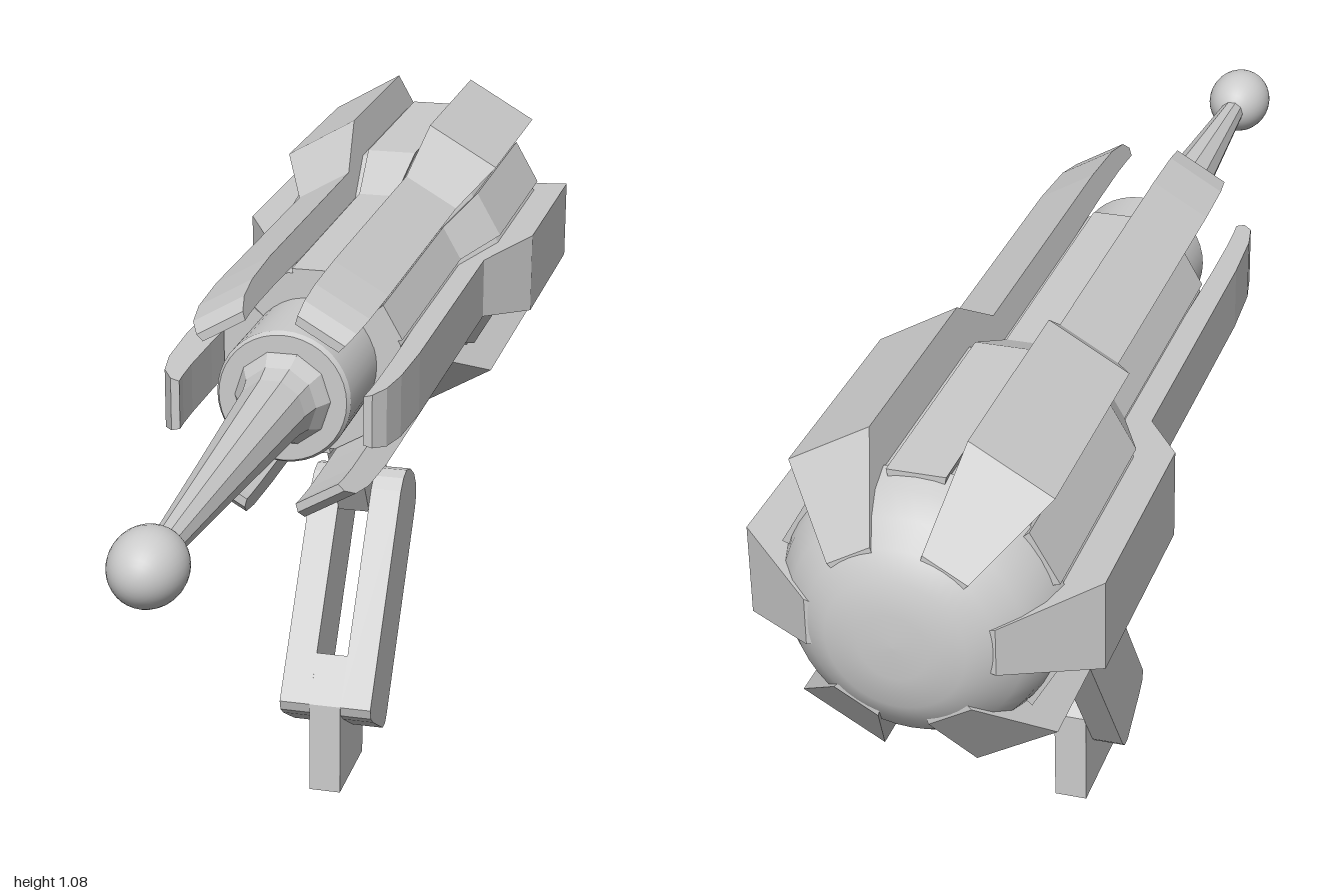
import * as THREE from 'three';

const flat = new THREE.MeshStandardMaterial({ color: 0xcccccc, flatShading: true });
const smooth = new THREE.MeshStandardMaterial({ color: 0xcccccc });
const AXIS_Y = 0.825;
const HALF = Math.PI / 12;

function add(parent, name, geometry, material) {
  const mesh = new THREE.Mesh(geometry, material);
  mesh.name = name;
  parent.add(mesh);
  return mesh;
}

// Turned part along z; profile is [radius, z] from back to front
function turned(profile, sides, start = 0) {
  const points = profile.map(([r, z]) => new THREE.Vector2(r, z));
  return new THREE.LatheGeometry(points, sides, start).rotateX(Math.PI / 2);
}

// Wedge-shaped bar along z; stations are [z, inner radius, outer radius] from front to back
function radialBar(stations, halfAngle) {
  const t = Math.tan(halfAngle);
  const position = [];
  const index = [0, 1, 2, 0, 2, 3];
  stations.forEach(([z, a, b], s) => {
    position.push(a, -a * t, z, b, -b * t, z, b, b * t, z, a, a * t, z);
    if (s === 0) return;
    for (let k = 0; k < 4; k++) {
      const i = (s - 1) * 4 + k;
      const j = (s - 1) * 4 + ((k + 1) % 4);
      index.push(i, i + 4, j, j, i + 4, j + 4);
    }
  });
  const e = (stations.length - 1) * 4;
  index.push(e, e + 2, e + 1, e, e + 3, e + 2);
  const g = new THREE.BufferGeometry();
  g.setAttribute('position', new THREE.Float32BufferAttribute(position, 3));
  g.setIndex(index);
  g.computeVertexNormals();
  return g;
}

// Plate cut from a [z, y] outline, spanning x0 to x1
function plate(outline, x0, x1) {
  const shape = new THREE.Shape(outline.map(([z, y]) => new THREE.Vector2(z, y)));
  const g = new THREE.ExtrudeGeometry(shape, { depth: x1 - x0, bevelEnabled: false });
  return g.rotateY(-Math.PI / 2).translate(x1, 0, 0);
}

export function createModel() {
  const model = new THREE.Group();
  model.name = 'rayPistol';
  const tilted = new THREE.Group();
  tilted.name = 'pistol';
  tilted.rotation.y = 0.016;
  tilted.position.x = 0.005;
  model.add(tilted);

  const barrel = new THREE.Group();
  barrel.name = 'barrel';
  barrel.position.y = AXIS_Y;
  tilted.add(barrel);

  // Twelve-sided core, swelling towards the back
  const c = 1 / Math.cos(HALF);
  add(barrel, 'core', turned([[0, -0.87], [0.195 * c, -0.87], [0.195 * c, -0.51],
    [0.147 * c, -0.4], [0.147 * c, 0.058], [0, 0.058]], 12, HALF), flat);

  // Rounded rear cap
  add(barrel, 'rearCap', turned([[0, -1], [0.05, -0.999], [0.1, -0.991], [0.135, -0.97],
    [0.168, -0.942], [0.192, -0.908], [0.205, -0.865]], 48), smooth);

  // Six tall fins and six low panels between them
  const fin = radialBar([[0.31, 0.146, 0.16], [0.285, 0.148, 0.177], [0.23, 0.15, 0.187],
    [0.12, 0.15, 0.192], [-0.4, 0.14, 0.192], [-0.51, 0.14, 0.257],
    [-0.87, 0.14, 0.257], [-0.972, 0.11, 0.135]], HALF);
  const panel = radialBar([[0.06, 0.1, 0.155], [-0.4, 0.1, 0.155],
    [-0.51, 0.1, 0.205], [-0.885, 0.1, 0.205]], HALF * 0.78);
  for (let i = 0; i < 6; i++) {
    add(barrel, 'fin', fin, flat).rotation.z = i * Math.PI / 3;
    add(barrel, 'panel', panel, flat).rotation.z = (i + 0.5) * Math.PI / 3;
  }

  // Muzzle sleeve with a bevelled rim
  const sleeve = new THREE.CylinderGeometry(0.108, 0.108, 0.19, 40, 1);
  add(barrel, 'muzzleSleeve', sleeve.rotateX(Math.PI / 2).translate(0, 0, 0.137), smooth);
  const rim = new THREE.CylinderGeometry(0.103, 0.108, 0.008, 40, 1);
  add(barrel, 'muzzleRim', rim.rotateX(Math.PI / 2).translate(0, 0, 0.236), smooth);

  // Faceted needle and its ball tip
  add(barrel, 'needle', turned([[0.082, 0.23], [0.075, 0.245], [0.062, 0.27], [0.055, 0.31],
    [0.037, 0.6], [0.02, 0.89]], 10, Math.PI / 10), flat);
  const ball = new THREE.SphereGeometry(0.056, 32, 20).rotateX(Math.PI / 2);
  add(barrel, 'ballTip', ball.scale(1, 1, 1.22).translate(0, 0, 0.931), smooth);

  // Handle: strut below the barrel, two side arms, foot between them
  const handle = new THREE.Group();
  handle.name = 'handle';
  tilted.add(handle);
  add(handle, 'strut', plate([[-0.1, 0.69], [-0.125, 0.635], [-0.24, 0.45], [-0.38, 0.415],
    [-0.355, 0.69]], -0.0275, 0.0275), flat);
  const arm = [[-0.032, 0.165], [-0.255, 0.488], [-0.275, 0.505], [-0.3, 0.511],
    [-0.33, 0.503], [-0.362, 0.482], [-0.378, 0.458], [-0.381, 0.43], [-0.374, 0.412],
    [-0.16, 0.098], [-0.148, 0.087], [-0.13, 0.086], [-0.055, 0.132], [-0.037, 0.147]];
  add(handle, 'leftArm', plate(arm, 0.0275, 0.081), flat);
  add(handle, 'rightArm', plate(arm, -0.081, -0.0275), flat);
  add(handle, 'foot', plate([[-0.032, 0], [-0.032, 0.165], [-0.084, 0.24], [-0.2, 0.165],
    [-0.2, 0]], -0.0275, 0.0275), flat);

  return model;
}
